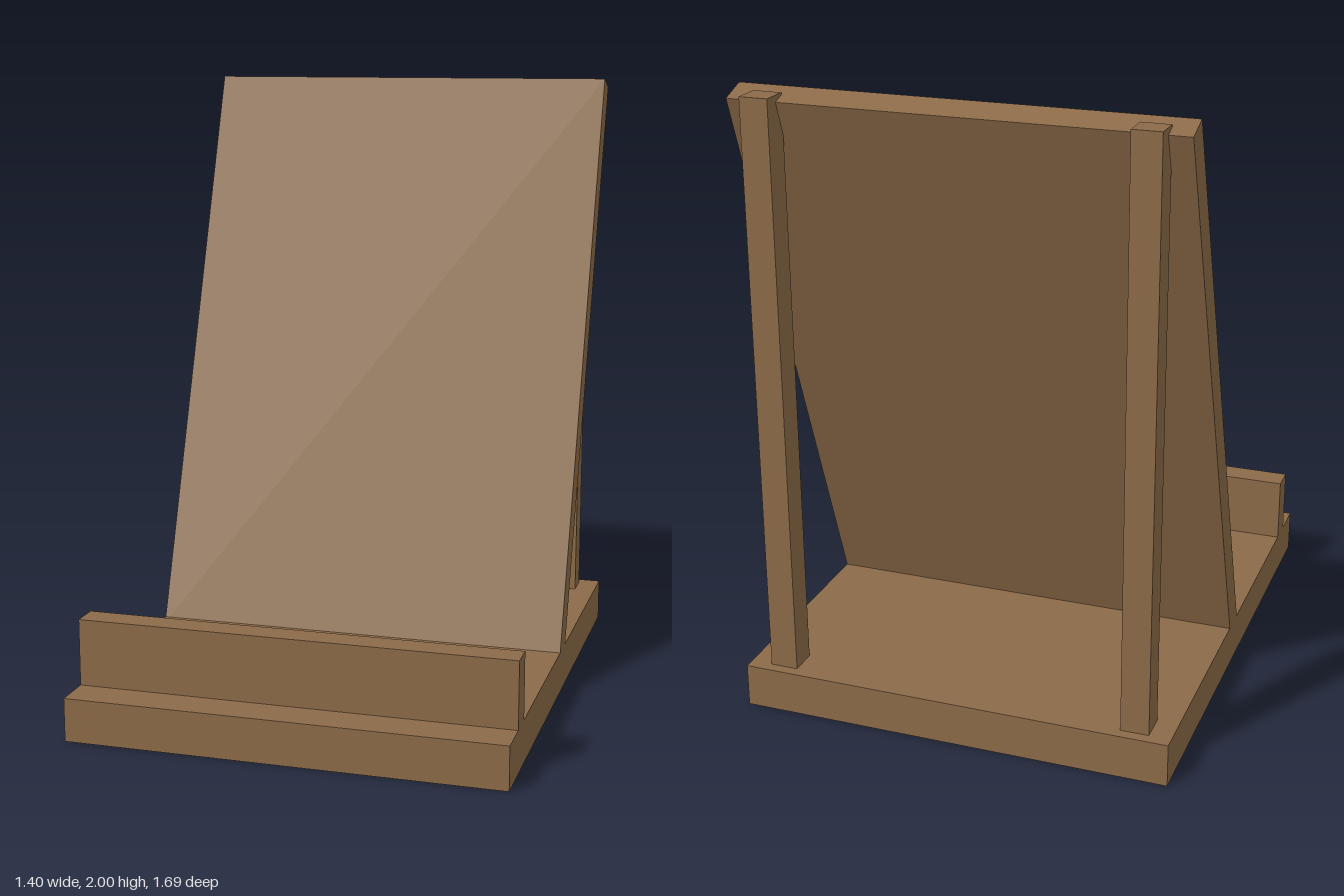
import * as THREE from 'three';

export function createModel() {
  const group = new THREE.Group();
  const wood = new THREE.MeshStandardMaterial({ color: 0x8b6a48 });

  function board(name, size, position) {
    const mesh = new THREE.Mesh(new THREE.BoxGeometry(...size), wood);
    mesh.name = name;
    mesh.position.set(...position);
    group.add(mesh);
    return mesh;
  }

  // Flat base with the lip that stops things sliding off
  board('base', [1.4, 0.14, 1.69], [0, 0.07, 0]);
  board('frontLip', [1.4, 0.215, 0.09], [0, 0.2475, 0.675]);

  // Back rest, leaning 20 degrees, its foot let into the base
  const backRest = board('backRest', [1.4, 2, 0.09], [0, 1.045, -0.375]);
  backRest.rotation.x = -THREE.MathUtils.degToRad(20);

  // Upright posts behind the back rest
  for (const side of [-1, 1]) {
    board(side > 0 ? 'leftPost' : 'rightPost', [0.09, 1.85, 0.09], [side * 0.585, 1.065, -0.765]);
  }

  return group;
}
